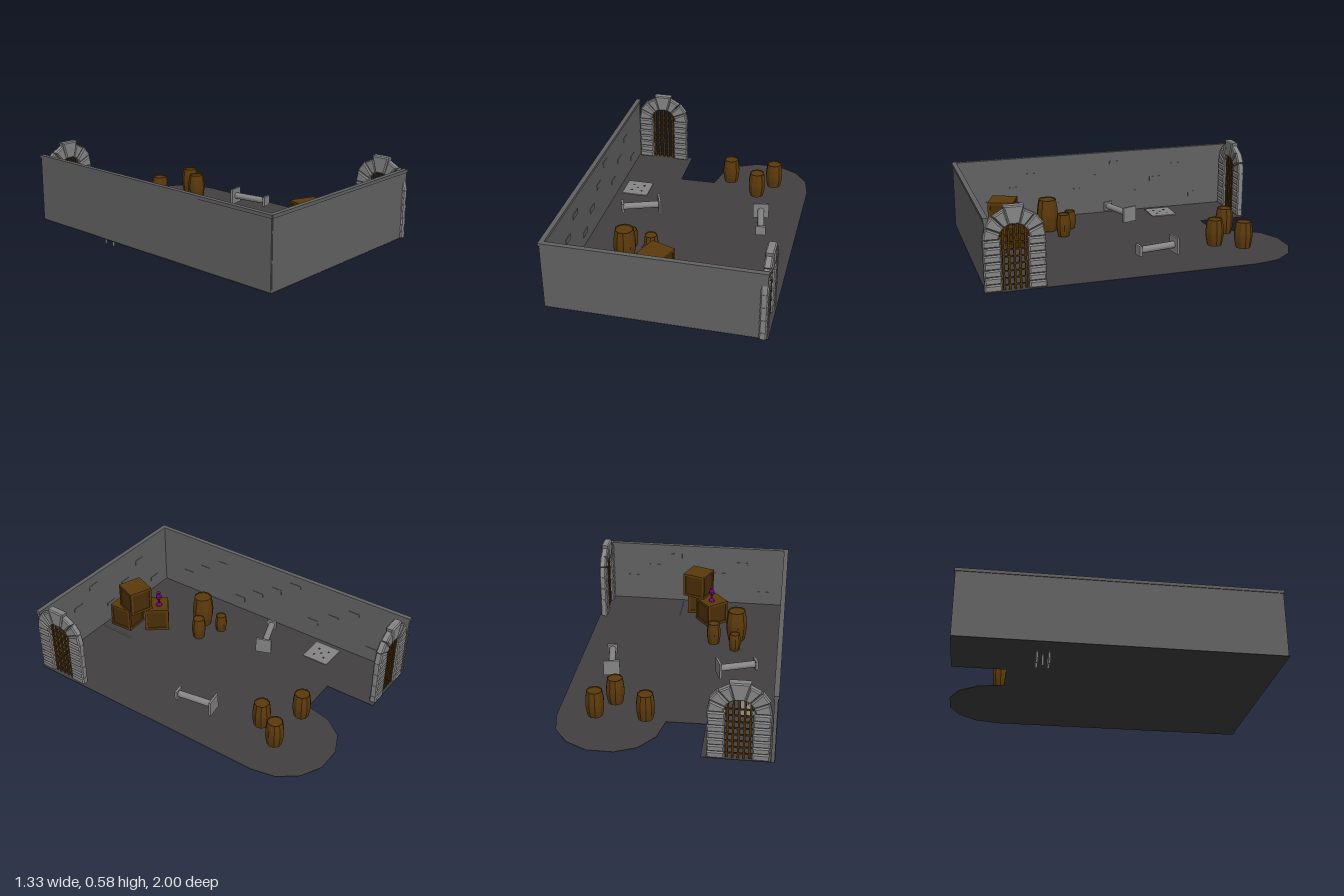
import * as THREE from 'three';

const mat = (color, extra = {}) =>
  new THREE.MeshStandardMaterial({ color, flatShading: true, ...extra });
const M = {
  stone: mat(0x858585), wall: mat(0x626262), floor: mat(0x423f40, { side: THREE.DoubleSide }),
  wood: mat(0x5c3a0c), darkWood: mat(0x4a2e08), iron: mat(0x9a9a9a), dark: mat(0x333333), purple: mat(0x7a0a7a),
};
const FLOOR = 0.085;

function add(parent, name, geometry, material, x = 0, y = 0, z = 0) {
  const mesh = new THREE.Mesh(geometry, material);
  mesh.name = name;
  mesh.position.set(x, y, z);
  parent.add(mesh);
  return mesh;
}
const box = (p, name, m, w, h, d, x, y, z) => add(p, name, new THREE.BoxGeometry(w, h, d), m, x, y, z);

function group(parent, name, x, y, z, turn = 0) {
  const g = new THREE.Group();
  g.name = name;
  g.position.set(x, y, z);
  g.rotation.y = turn;
  parent.add(g);
  return g;
}

// Chamfered block with the given outline, centred on local z
function block(points, depth, bevel = 0.008) {
  const shape = new THREE.Shape(points.map(([x, y]) => new THREE.Vector2(x, y)));
  const g = new THREE.ExtrudeGeometry(shape, {
    depth: depth - 2 * bevel, bevelEnabled: true, bevelSize: bevel,
    bevelThickness: bevel, bevelOffset: -bevel, bevelSegments: 1,
  });
  return g.translate(0, 0, bevel - depth / 2);
}

// Stone archway with a barred gate
function archway(parent, x, z, turn) {
  const g = group(parent, 'archway', x, FLOOR, z, turn);
  const spring = 0.305, rows = 7, h = spring / rows;
  for (const s of [-1, 1]) {
    for (let i = 0; i < rows; i++) {
      const outer = 0.18 - (i % 2) * 0.003, y = i * h;
      const pts = [[0.078, y], [outer, y], [outer, y + h], [0.078, y + h]];
      add(g, 'pillarStone', block(pts.map(([a, b]) => [a * s, b]), 0.046), M.stone);
    }
    // Wedge stones between pillar and keystone
    const step = 0.425;
    for (let i = 0; i < 3; i++) {
      const a0 = i * step + 0.015, a1 = (i + 1) * step - 0.015, outer = i === 1 ? 0.187 : 0.181;
      const pts = [[0.088, a0], [outer, a0], [outer, a1], [0.088, a1]];
      add(g, 'archStone',
        block(pts.map(([r, a]) => [s * r * Math.cos(a), spring + r * Math.sin(a)]), 0.046), M.stone);
    }
  }
  add(g, 'keystone', block([[-0.032, 0.39], [0.032, 0.39], [0.06, 0.5], [-0.06, 0.5]], 0.054), M.stone);

  // Gate lattice
  for (let i = -2; i <= 2; i++) {
    const top = spring + Math.sqrt(0.095 ** 2 - (i * 0.032) ** 2);
    box(g, 'gateBar', M.darkWood, 0.012, top, 0.012, i * 0.032, top / 2, 0);
  }
  for (let i = 0; i < 8; i++) box(g, 'gateCrossbar', M.darkWood, 0.16, 0.008, 0.009, 0, 0.03 + i * 0.042, 0);
}

// Bulging barrel with a recessed lid
function barrel(parent, x, z, r, y0, y1) {
  const g = group(parent, 'barrel', x, y0, z, 0.2);
  const h = y1 - y0;
  const profile = [
    [0, 0], [0.8 * r, 0], [0.94 * r, h * 0.25], [r, h * 0.45], [r, h * 0.55], [0.94 * r, h * 0.75],
    [0.82 * r, h], [0.75 * r, h], [0.75 * r, h - 0.006], [0, h - 0.006],
  ].map(([a, b]) => new THREE.Vector2(a, b));
  add(g, 'barrelBody', new THREE.LatheGeometry(profile, 10), M.wood);
}

// Crate with recessed sides and edge boards
function crate(parent, x, y, z, w, h, turn) {
  const g = group(parent, 'crate', x, y, z, turn);
  const t = 0.016, e = (w - t) / 2;
  box(g, 'cratePanels', M.darkWood, w - 0.012, h - 0.008, w - 0.012, 0, h / 2, 0);
  box(g, 'crateLid', M.wood, w, t, w, 0, h - t / 2, 0);
  box(g, 'crateBase', M.wood, w, t, w, 0, t / 2, 0);
  for (const sx of [-1, 1]) for (const sz of [-1, 1])
    box(g, 'cratePost', M.wood, t, h - 2 * t, t, sx * e, h / 2, sz * e);
}

// Column lying on its side, wide plinth at local +x
function fallenColumn(parent, x, z, turn) {
  const g = group(parent, 'fallenColumn', x, 0.173, z, turn);
  add(g, 'columnShaft', new THREE.CylinderGeometry(0.022, 0.022, 0.24, 12).rotateZ(Math.PI / 2), M.stone);
  box(g, 'columnCapital', M.stone, 0.016, 0.064, 0.064, -0.122, 0, 0);
  box(g, 'columnPlinth', M.stone, 0.014, 0.104, 0.104, 0.124, 0, 0);
}

export function createModel() {
  const root = new THREE.Group();
  root.name = 'dungeonRoom';

  // Floor with a rounded alcove at the back
  const outline = [
    [-0.665, 0.99], [-0.665, -0.985], [-0.245, -0.985], [-0.245, -0.655], [-0.005, -0.66],
    [0.03, -0.82], [0.12, -0.94], [0.25, -1], [0.41, -1], [0.54, -0.935], [0.63, -0.82],
    [0.66, -0.67], [0.66, 0.99],
  ];
  const floorShape = new THREE.Shape(outline.map(([x, z]) => new THREE.Vector2(x, -z)));
  add(root, 'floor',
    new THREE.ExtrudeGeometry(floorShape, { depth: 0.004, bevelEnabled: false }).rotateX(-Math.PI / 2),
    M.floor, 0, FLOOR - 0.002, 0);

  // Two walls with a capping course
  const wallH = 0.42, wallY = FLOOR + wallH / 2;
  box(root, 'leftWall', M.wall, 0.02, wallH, 1.97, -0.652, wallY, 0);
  box(root, 'leftWallCap', M.wall, 0.03, 0.02, 1.98, -0.652, 0.515, 0);
  box(root, 'frontWall', M.wall, 1.3, wallH, 0.02, -0.005, wallY, 0.978);
  box(root, 'frontWallCap', M.wall, 1.31, 0.02, 0.03, -0.005, 0.515, 0.978);

  // Scattered bricks standing slightly proud of the inner faces
  for (let i = 0; i < 11; i++) {
    const y = 0.17 + ((i * 5) % 7) * 0.045;
    box(root, 'wallBrick', M.wall, 0.004, 0.035, 0.08, -0.641, y, -0.75 + i * 0.15);
    if (i < 7) box(root, 'wallBrick', M.wall, 0.08, 0.035, 0.004, -0.5 + i * 0.16, y, 0.967);
  }

  archway(root, 0.628, 0.818, Math.PI / 2);
  archway(root, -0.455, -0.963, 0);

  // Barrels: alcove group, then the cluster by the left wall
  [[0.115, -0.675], [0.42, -0.675], [0.325, -0.52]].forEach(([x, z]) => barrel(root, x, z, 0.058, 0.115, 0.285));
  barrel(root, -0.345, 0.41, 0.072, 0.093, 0.308);
  barrel(root, -0.345, 0.257, 0.041, 0.093, 0.212);
  barrel(root, -0.195, 0.337, 0.048, 0.093, 0.242);

  // Crate pile
  crate(root, -0.15, 0.09, 0.667, 0.162, 0.162, 0.67);
  crate(root, -0.045, 0.09, 0.845, 0.16, 0.162, 0.05);
  crate(root, -0.045, 0.252, 0.76, 0.16, 0.168, -0.36);

  // Goblet on the low crate
  const goblet = [[0, 0], [0.02, 0], [0.018, 0.012], [0.007, 0.022], [0.007, 0.045],
    [0.02, 0.06], [0.02, 0.08], [0.01, 0.09], [0.014, 0.105], [0, 0.105]];
  add(root, 'goblet', new THREE.LatheGeometry(goblet.map(([r, y]) => new THREE.Vector2(r, y)), 8),
    M.purple, -0.15, 0.252, 0.643);

  fallenColumn(root, -0.388, -0.1, 0.352);
  fallenColumn(root, 0.426, -0.097, 1.73);

  // Thin blade on the floor
  box(root, 'blade', M.iron, 0.006, 0.006, 0.23, 0.085, FLOOR + 0.006, 0.83);

  // Trap plate with holes above and spikes below
  const trap = group(root, 'spikeTrap', -0.514, 0, -0.452);
  box(trap, 'trapPlate', M.stone, 0.178, 0.006, 0.176, 0, 0.09, 0);
  for (const [x, z] of [[0, 0], [-1, -1], [1, -1], [-1, 1], [1, 1]]) {
    box(trap, 'trapHole', M.dark, 0.014, 0.002, 0.014, x * 0.036, 0.0935, z * 0.036);
    add(trap, 'spikeShaft', new THREE.CylinderGeometry(0.008, 0.008, 0.058, 6), M.iron, x * 0.036, 0.029, z * 0.036);
    add(trap, 'spikeTip', new THREE.CylinderGeometry(0.002, 0.008, 0.024, 6), M.iron, x * 0.036, 0.07, z * 0.036);
  }
  return root;
}
